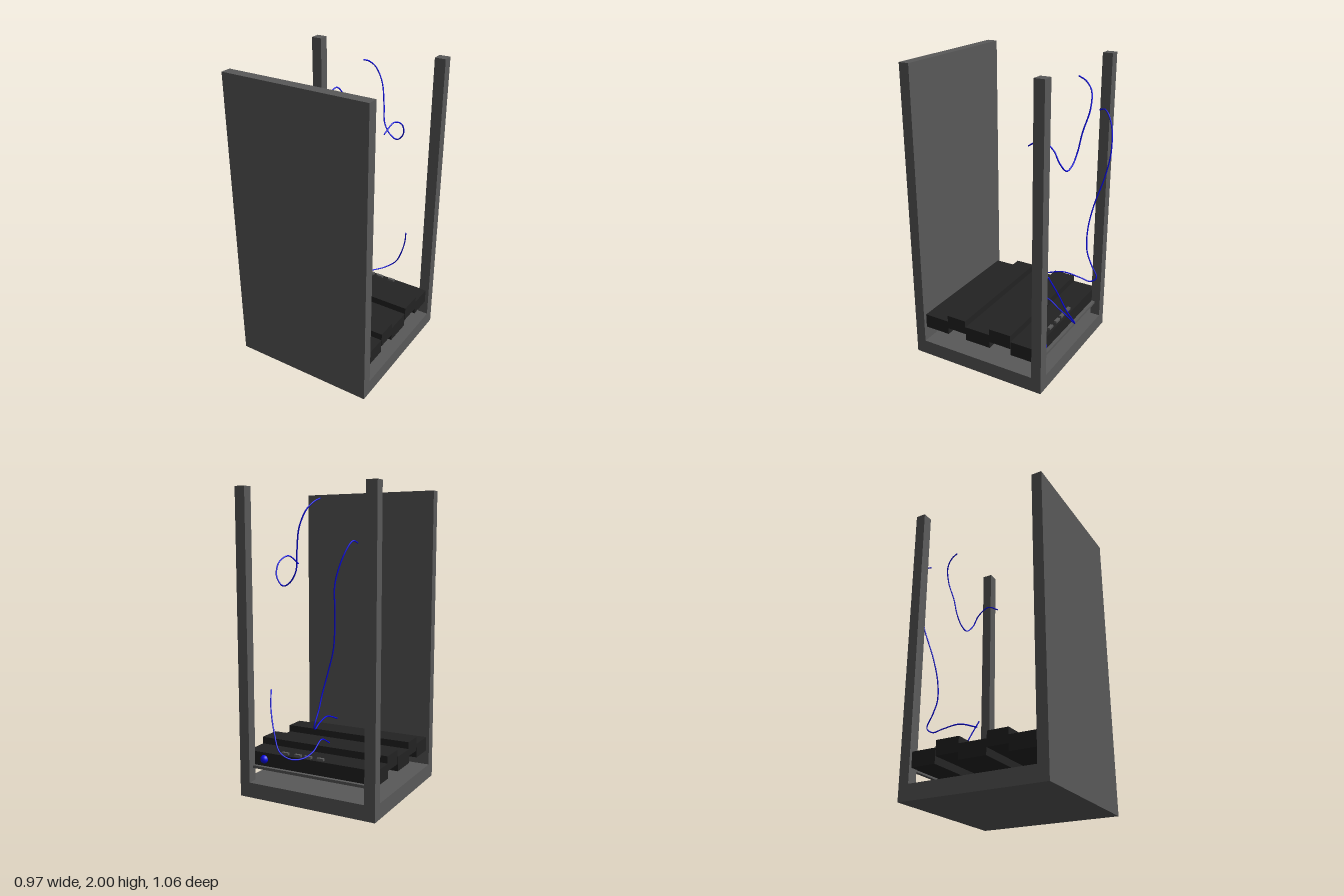
import * as THREE from 'three';

export function createModel() {
  const model = new THREE.Group();
  const mat = (name, color) => Object.assign(new THREE.MeshStandardMaterial({ color }), { name });
  const grey = mat('frame grey', 0x595959);
  const black = mat('block black', 0x232323);
  const blue = mat('cable blue', 0x0808e8);

  const add = (name, geometry, material) => {
    const mesh = new THREE.Mesh(geometry, material);
    mesh.name = name;
    model.add(mesh);
    return mesh;
  };
  // Box given by its lower and upper limits on each axis
  const box = (name, material, [x0, x1], [y0, y1], [z0, z1]) =>
    add(name, new THREE.BoxGeometry(x1 - x0, y1 - y0, z1 - z0), material)
      .position.set((x0 + x1) / 2, (y0 + y1) / 2, (z0 + z1) / 2);

  // Case: floor, tall front panel, two rear posts and a thin rear rail
  const W = 0.487;
  box('base', grey, [-W, W], [0, 0.1], [-0.44, 0.46]);
  box('frontPanel', grey, [-W, W], [0, 2], [0.46, 0.53]);
  box('rightPost', grey, [-W, -0.415], [0.1, 2], [-0.44, -0.372]);
  box('leftPost', grey, [0.415, W], [0.1, 2], [-0.44, -0.372]);
  box('rearRail', grey, [-0.415, 0.415], [0.188, 0.206], [-0.4, -0.376]);

  // Block floor: five rows alternating low and high, three blocks per row
  const rows = [0.46, 0.277, 0.137, -0.049, -0.207, -0.376];
  for (let r = 0; r < 5; r++) {
    const high = r % 2 === 1;
    const y = high ? [0.247, 0.343] : [0.2, 0.297];
    const columns = high ? [-0.463, -0.118, 0.231, 0.466] : [-0.466, -0.118, 0.231, 0.463];
    for (let c = 0; c < 3; c++) {
      box('floorBlock', black, [columns[c], columns[c + 1]], y, [rows[r + 1], rows[r]]);
    }
  }

  // Small connectors along the back row
  for (const x of [-0.067, 0.023, 0.097, 0.192]) {
    box('connector', grey, [x - 0.024, x + 0.024], [0.26, 0.312], [-0.361, -0.34]);
  }

  // Round button on the back face
  const button = add('button', new THREE.SphereGeometry(0.028, 24, 16), blue);
  button.position.set(0.34, 0.252, -0.374);

  // Loose cables
  const cables = {
    longCable: [
      [-0.345, 1.65, -0.4], [-0.335, 1.66, -0.44], [-0.31, 1.59, -0.495], [-0.265, 1.42, -0.526],
      [-0.25, 1.25, -0.5], [-0.21, 1.03, -0.443], [-0.165, 0.88, -0.43], [-0.134, 0.75, -0.445],
      [-0.13, 0.66, -0.48], [-0.125, 0.57, -0.526], [-0.11, 0.54, -0.49], [-0.097, 0.557, -0.42],
      [-0.086, 0.573, -0.3], [-0.085, 0.53, -0.165],
    ],
    upperCable: [
      [-0.08, 1.91, -0.37], [-0.07, 1.89, -0.42], [-0.045, 1.84, -0.47], [-0.005, 1.74, -0.485],
      [0.03, 1.6, -0.455], [0.05, 1.48, -0.436], [0.1, 1.41, -0.428], [0.155, 1.39, -0.42],
      [0.212, 1.45, -0.4], [0.22, 1.53, -0.36], [0.205, 1.57, -0.27], [0.19, 1.52, -0.178],
    ],
    lowerCable: [
      [0.28, 0.72, -0.375], [0.25, 0.61, -0.425], [0.2, 0.47, -0.467], [0.14, 0.36, -0.498],
      [0.08, 0.315, -0.465], [0.03, 0.31, -0.4], [0.005, 0.335, -0.32], [0, 0.39, -0.22],
      [-0.002, 0.34, -0.11],
    ],
  };
  for (const [name, points] of Object.entries(cables)) {
    const curve = new THREE.CatmullRomCurve3(points.map((p) => new THREE.Vector3(...p)));
    add(name, new THREE.TubeGeometry(curve, 120, 0.0045, 8), blue);
    // Closed cable ends
    for (const end of [points[0], points[points.length - 1]]) {
      add('cableEnd', new THREE.SphereGeometry(0.0045, 8, 6), blue).position.set(...end);
    }
  }

  return model;
}
